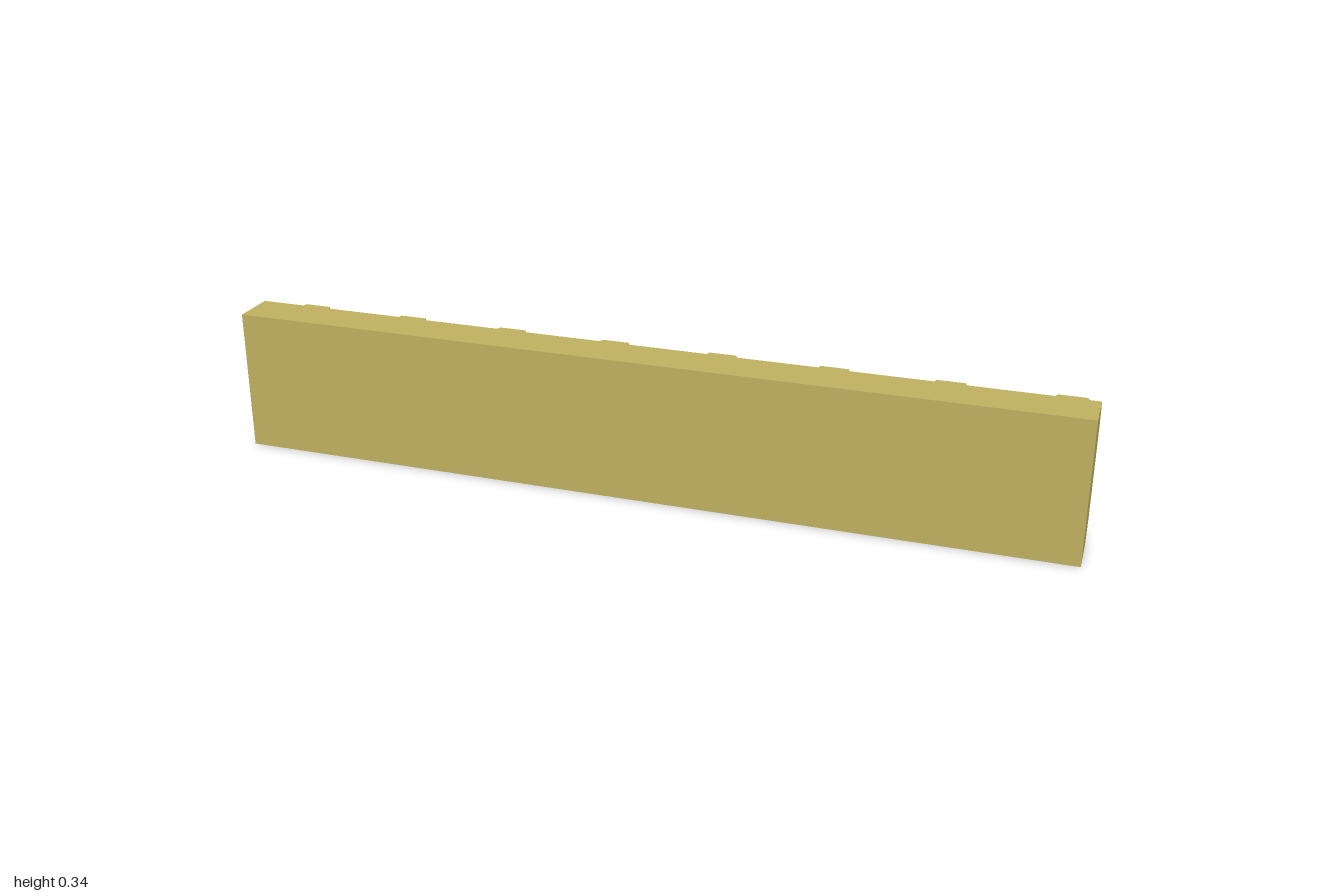
import * as THREE from 'three';

// Extrude a closed outline given as [x, y] points
function prism(points, depth) {
  const shape = new THREE.Shape(points.map(([x, y]) => new THREE.Vector2(x, y)));
  return new THREE.ExtrudeGeometry(shape, { depth, bevelEnabled: false });
}

export function createModel() {
  const group = new THREE.Group();
  group.name = 'toothedRack';

  const brass = new THREE.MeshStandardMaterial({ color: 0xbfb060, flatShading: true });
  brass.name = 'brass';

  const height = 0.34, front = 0.121, shoulder = 0.016, root = -0.01, tip = -0.121;
  const toothBottom = 0.052, toothTop = 0.289;

  // Long bar with chamfered back edges, profile drawn as (-z, y)
  const barGeometry = prism([
    [-front, 0], [-shoulder, 0], [-root, toothBottom],
    [-root, toothTop], [-shoulder, height], [-front, height],
  ], 2);
  barGeometry.rotateY(Math.PI / 2).translate(-1, 0, 0);
  const bar = new THREE.Mesh(barGeometry, brass);
  bar.name = 'bar';
  group.add(bar);

  // Row of tapered teeth along the back, outline drawn as (x, -z)
  const count = 8, rootHalf = 0.0667, tipHalf = 0.033;
  const toothGeometry = prism([
    [-rootHalf, -root], [rootHalf, -root], [tipHalf, -tip], [-tipHalf, -tip],
  ], toothTop - toothBottom);
  toothGeometry.rotateX(-Math.PI / 2).translate(0, toothBottom, 0);

  const teeth = new THREE.Group();
  teeth.name = 'teeth';
  const reach = 1 - rootHalf;
  for (let i = 0; i < count; i++) {
    const tooth = new THREE.Mesh(toothGeometry, brass);
    tooth.name = `tooth${i + 1}`;
    tooth.position.x = -reach + (2 * reach * i) / (count - 1);
    teeth.add(tooth);
  }
  group.add(teeth);

  return group;
}
